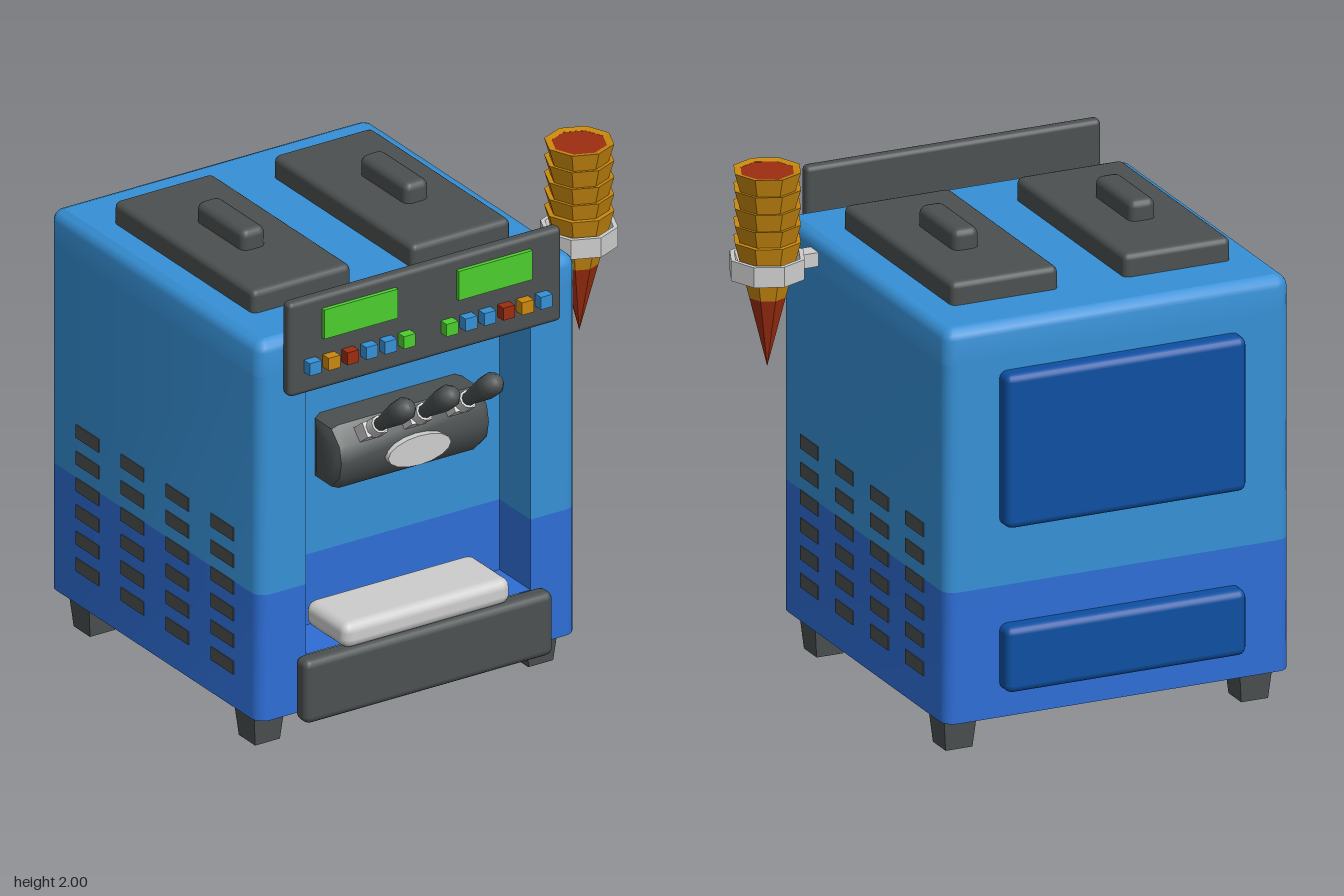
import * as THREE from 'three';
import { toCreasedNormals } from 'three/addons/utils/BufferGeometryUtils.js';
import { RoundedBoxGeometry } from 'three/addons/geometries/RoundedBoxGeometry.js';

const make = (name, color, side = THREE.FrontSide) =>
  Object.assign(new THREE.MeshStandardMaterial({ color, side }), { name });

export function createModel() {
  const model = new THREE.Group();
  model.name = 'softServeMachine';
  const skyBlue = make('skyBlue', 0x3690d6, THREE.DoubleSide);
  const royalBlue = make('royalBlue', 0x2e6ed6, THREE.DoubleSide);
  const navy = make('navy', 0x0d50a2);
  const charcoal = make('charcoal', 0x4b5050);
  const silver = make('silver', 0xcdcdcd);
  const green = make('green', 0x4ccf2e);
  const amber = make('amber', 0xc8880f, THREE.DoubleSide);
  const rust = make('rust', 0x9c2d10, THREE.DoubleSide);

  const add = (name, geo, mat, x = 0, y = 0, z = 0, parent = model) => {
    const mesh = new THREE.Mesh(geo, mat);
    mesh.name = name;
    mesh.position.set(x, y, z);
    parent.add(mesh);
    return mesh;
  };
  // Box given by its limits; r > 0 rounds the edges
  const box = (name, mat, [x0, x1], [y0, y1], [z0, z1], r = 0) => {
    const s = [x1 - x0, y1 - y0, z1 - z0];
    const geo = r ? new RoundedBoxGeometry(...s, 2, r) : new THREE.BoxGeometry(...s);
    return add(name, geo, mat, (x0 + x1) / 2, (y0 + y1) / 2, (z0 + z1) / 2);
  };
  // Surface through rows of [x, y, z] points
  const loft = (name, mat, rows) => {
    const n = rows[0].length, index = [];
    for (let j = 0; j < rows.length - 1; j++)
      for (let i = 0; i < n - 1; i++) {
        const a = j * n + i, b = a + 1, c = a + n, d = c + 1;
        index.push(a, c, b, b, c, d);
      }
    const geo = new THREE.BufferGeometry();
    geo.setAttribute('position', new THREE.Float32BufferAttribute(rows.flat(2), 3));
    geo.setIndex(index);
    return add(name, toCreasedNormals(geo, 0.7), mat);
  };
  const wall = (name, mat, path, y0, y1) =>
    loft(name, mat, [y0, y1].map(y => path.map(([x, z]) => [x, y, z])));
  const faceted = geo => {
    const flat = geo.toNonIndexed();
    flat.computeVertexNormals();
    return flat;
  };
  const lathe = (points, sides) =>
    new THREE.LatheGeometry(points.map(p => new THREE.Vector2(...p)), sides);

  // Cabinet plan: rounded rectangle starting and ending on the front edge
  const X0 = -0.88, X1 = 0.54, Z0 = -0.8, Z1 = 0.62, R = 0.05;
  const RX0 = -0.67, RX1 = 0.33, RZ = 0.41;
  const plan = inset => {
    const pts = [[RX0, Z1 - inset]];
    const corners = [[X0 + R, Z1 - R, 90], [X0 + R, Z0 + R, 180], [X1 - R, Z0 + R, 270], [X1 - R, Z1 - R, 360]];
    for (const [cx, cz, start] of corners)
      for (let k = 0; k <= 4; k++) {
        const a = (start + k * 22.5) * Math.PI / 180, r = R - inset;
        pts.push([cx + r * Math.cos(a), cz + r * Math.sin(a)]);
      }
    pts.push([RX1, Z1 - inset]);
    return pts;
  };
  const outline = plan(0), BAND = 0.66, HEAD = 1.56;
  wall('lowerCabinet', royalBlue, outline, 0.14, BAND);
  wall('upperCabinet', skyBlue, outline, BAND, HEAD);

  // Cabinet crown with softened top edge
  const crown = [[HEAD, 0], [1.655, 0], [1.675, 0.005], [1.69, 0.018], [1.7, 0.042]];
  loft('cabinetCrown', skyBlue, crown.map(([y, inset]) => {
    const p = plan(inset);
    return [...p, p[0]].map(([x, z]) => [x, y, z]);
  }));
  const topShape = new THREE.Shape(plan(0.042).map(([x, z]) => new THREE.Vector2(x, -z)));
  add('cabinetTop', new THREE.ShapeGeometry(topShape).rotateX(-Math.PI / 2), skyBlue, 0, 1.7, 0);

  // Serving recess
  const recess = [[RX1, Z1], [RX1, RZ], [RX0, RZ], [RX0, Z1]];
  wall('lowerRecess', royalBlue, recess, 0.37, BAND);
  wall('upperRecess', skyBlue, recess, BAND, HEAD);
  for (const [name, mat, y] of [['recessFloor', royalBlue, 0.37], ['recessCeiling', skyBlue, HEAD]])
    add(name, new THREE.PlaneGeometry(RX1 - RX0, Z1 - RZ).rotateX(-Math.PI / 2), mat, -0.17, y, (RZ + Z1) / 2);

  // Tapered feet
  const footGeo = faceted(new THREE.CylinderGeometry(0.097, 0.078, 0.14, 4).rotateY(Math.PI / 4));
  for (const x of [-0.78, 0.437])
    for (const z of [-0.642, 0.472]) add('foot', footGeo, charcoal, x, 0.07, z);

  // Hopper lids with grips
  for (const x of [-0.53, 0.18]) {
    box('hopperLid', charcoal, [x - 0.22, x + 0.22], [1.67, 1.79], [-0.56, 0.385], 0.025);
    const gx = x < 0 ? -0.537 : 0.19;
    box('lidGrip', charcoal, [gx - 0.053, gx + 0.053], [1.75, 1.87], [-0.25, 0.075], 0.03);
  }

  // Rear service panels
  box('upperRearPanel', navy, [-0.67, 0.32], [0.9, 1.51], [-0.87, -0.77], 0.03);
  box('lowerRearPanel', navy, [-0.67, 0.32], [0.25, 0.51], [-0.87, -0.77], 0.03);

  // Side vents
  for (const x of [X0, X1])
    for (let row = 0; row < 6; row++)
      for (let col = 0; col < 4; col++)
        add('vent', new THREE.BoxGeometry(0.008, 0.055, 0.153), charcoal,
          x, 0.303 + row * 0.11, 0.376 - col * 0.303);

  // Control panel, screens and buttons
  box('controlPanel', charcoal, [-0.78, 0.435], [1.475, 1.862], [0.622, 0.675], 0.02);
  for (const x of [-0.472, 0.128])
    box('screen', green, [x - 0.164, x + 0.164], [1.69, 1.81], [0.665, 0.692]);
  const buttons = [skyBlue, amber, rust, skyBlue, skyBlue, green];
  buttons.forEach((mat, i) => {
    const x = -0.69 + i * 0.084;
    for (const cx of [x, -0.35 - x])
      box('button', mat, [cx - 0.026, cx + 0.026], [1.568, 1.619], [0.665, 0.715]);
  });

  // Dispensing head: rounded front section extruded across
  const section = [[-0.45, 1.01], [-0.52, 1.01], [-0.56, 1.05], [-0.57, 1.1], [-0.56, 1.15], [-0.52, 1.19], [-0.45, 1.19]];
  const headGeo = new THREE.ExtrudeGeometry(
    new THREE.Shape(section.map(p => new THREE.Vector2(...p))),
    { depth: 0.6, bevelSize: 0.04, bevelThickness: 0.04, bevelSegments: 2 });
  add('dispensingHead', toCreasedNormals(headGeo.rotateY(Math.PI / 2), 0.7), charcoal, -0.47, 0, 0);
  const badge = add('headPlate', new THREE.CylinderGeometry(1, 1, 0.05, 16).rotateX(Math.PI / 2), silver, -0.17, 1.083, 0.605);
  badge.scale.set(0.14, 0.06, 1);

  // Dispensing levers
  const handleGeo = lathe([[0, 0], [0.024, 0], [0.028, 0.07], [0.046, 0.2], [0.046, 0.25], [0.028, 0.285], [0, 0.288]], 10);
  for (const x of [-0.37, -0.172, 0.022]) {
    const lever = new THREE.Group();
    lever.name = 'lever';
    lever.position.set(x, 1.235, 0.635);
    lever.rotation.x = 0.91;
    model.add(lever);
    add('leverHandle', handleGeo, charcoal, 0, 0, 0, lever);
    add('leverCollar', new THREE.CylinderGeometry(0.035, 0.038, 0.06, 10), silver, 0, 0.01, 0, lever);
    add('leverBase', new THREE.BoxGeometry(0.09, 0.08, 0.06), silver, 0, -0.045, 0, lever);
  }

  // Drip tray
  box('dripTrayFront', charcoal, [-0.725, 0.382], [0.12, 0.382], [0.622, 0.705], 0.03);
  box('dripTray', silver, [-0.545, 0.202], [0.375, 0.482], [0.415, 0.695], 0.04);

  // Cone holder ring and bracket
  const CX = 0.735, CZ = 0.335;
  add('holderRing', faceted(lathe([[0.1, 1.58], [0.148, 1.58], [0.148, 1.66], [0.13, 1.66], [0.1, 1.58]], 8)), silver, CX, 0, CZ);
  box('holderBracket', silver, [0.53, 0.61], [1.595, 1.65], [0.3, 0.37]);

  // Stacked wafer cones
  add('coneTip', faceted(lathe([[0, 1.22], [0.073, 1.5]], 8)), rust, CX, 0, CZ);
  add('lowestCone', faceted(lathe([[0.073, 1.5], [0.133, 1.725], [0.11, 1.725]], 8)), amber, CX, 0, CZ);
  for (let i = 1; i < 5; i++) {
    const y = 1.725 + i * 0.06875;
    add('stackedCone', faceted(lathe([[0.108, y - 0.085], [0.133, y], [0.105, y - 0.006]], 8)), amber, CX, 0, CZ);
  }
  add('coneInside', new THREE.CircleGeometry(0.106, 8).rotateX(-Math.PI / 2), rust, CX, 1.993, CZ);
  return model;
}
